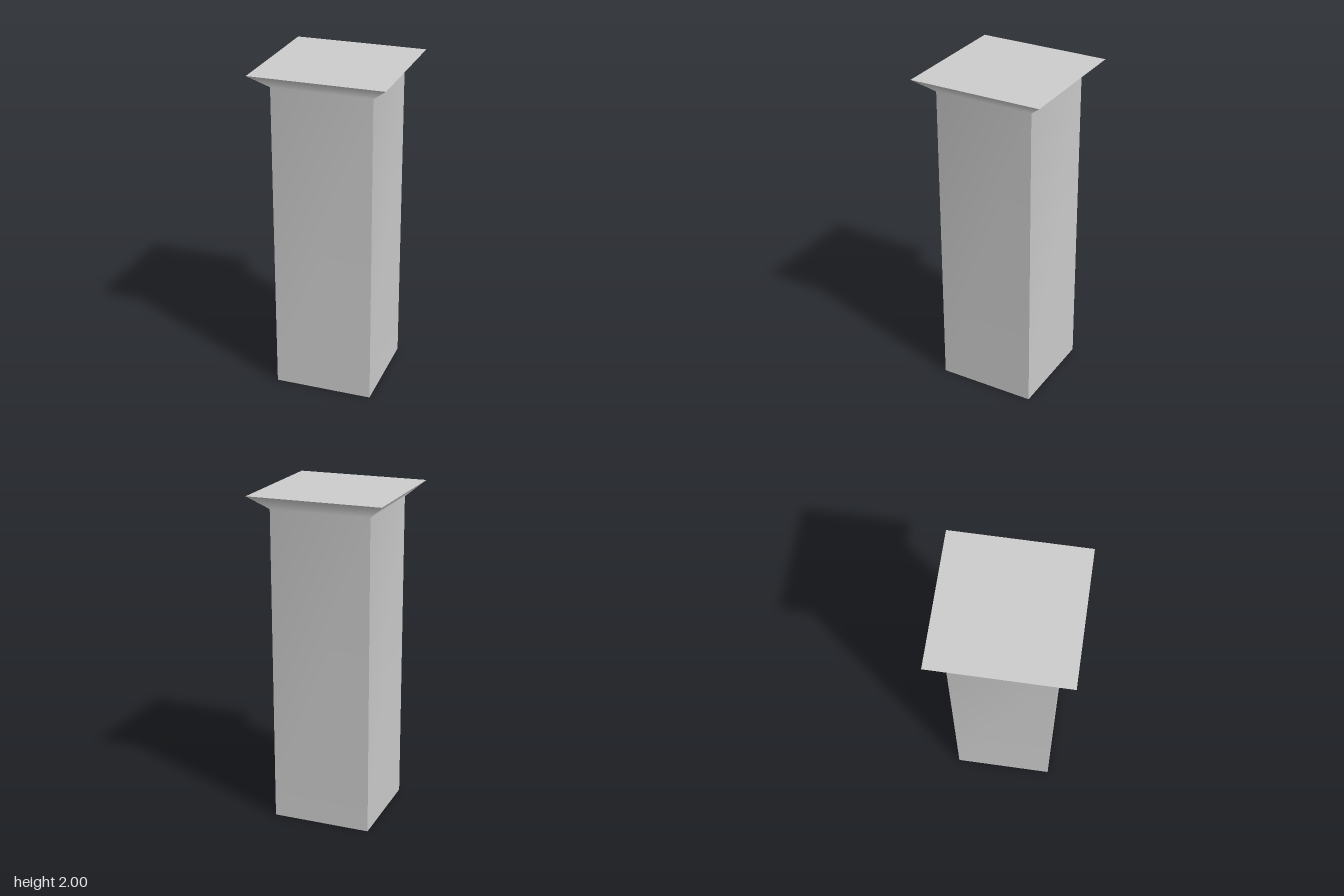
import * as THREE from 'three';

// Half width and height of each level, from the top down
const LEVELS = [[0.4, 2], [0.3, 1.915], [0.3, 0]];

export function createModel() {
  const group = new THREE.Group();
  group.name = 'pillar';
  const material = new THREE.MeshStandardMaterial({ color: 0xcccccc });

  const add = (name, geometry) => {
    const mesh = new THREE.Mesh(geometry, material);
    mesh.name = name;
    group.add(mesh);
    return mesh;
  };

  // One side: shaft and flared capital, shaded smoothly into each other
  const side = new THREE.PlaneGeometry(2, 1, 1, LEVELS.length - 1);
  const position = side.attributes.position;
  for (let i = 0; i < position.count; i++) {
    const [half, y] = LEVELS[Math.floor(i / 2)];
    position.setXYZ(i, position.getX(i) * half, y, half);
  }
  side.computeVertexNormals();

  // Four sides with sharp corners between them
  ['frontSide', 'leftSide', 'backSide', 'rightSide'].forEach((name, i) => {
    add(name, side).rotation.y = i * Math.PI / 2;
  });

  // Flat top and base
  const top = add('topSlab', new THREE.PlaneGeometry(0.8, 0.8).rotateX(-Math.PI / 2));
  top.position.y = 2;
  add('base', new THREE.PlaneGeometry(0.6, 0.6).rotateX(Math.PI / 2));

  return group;
}
